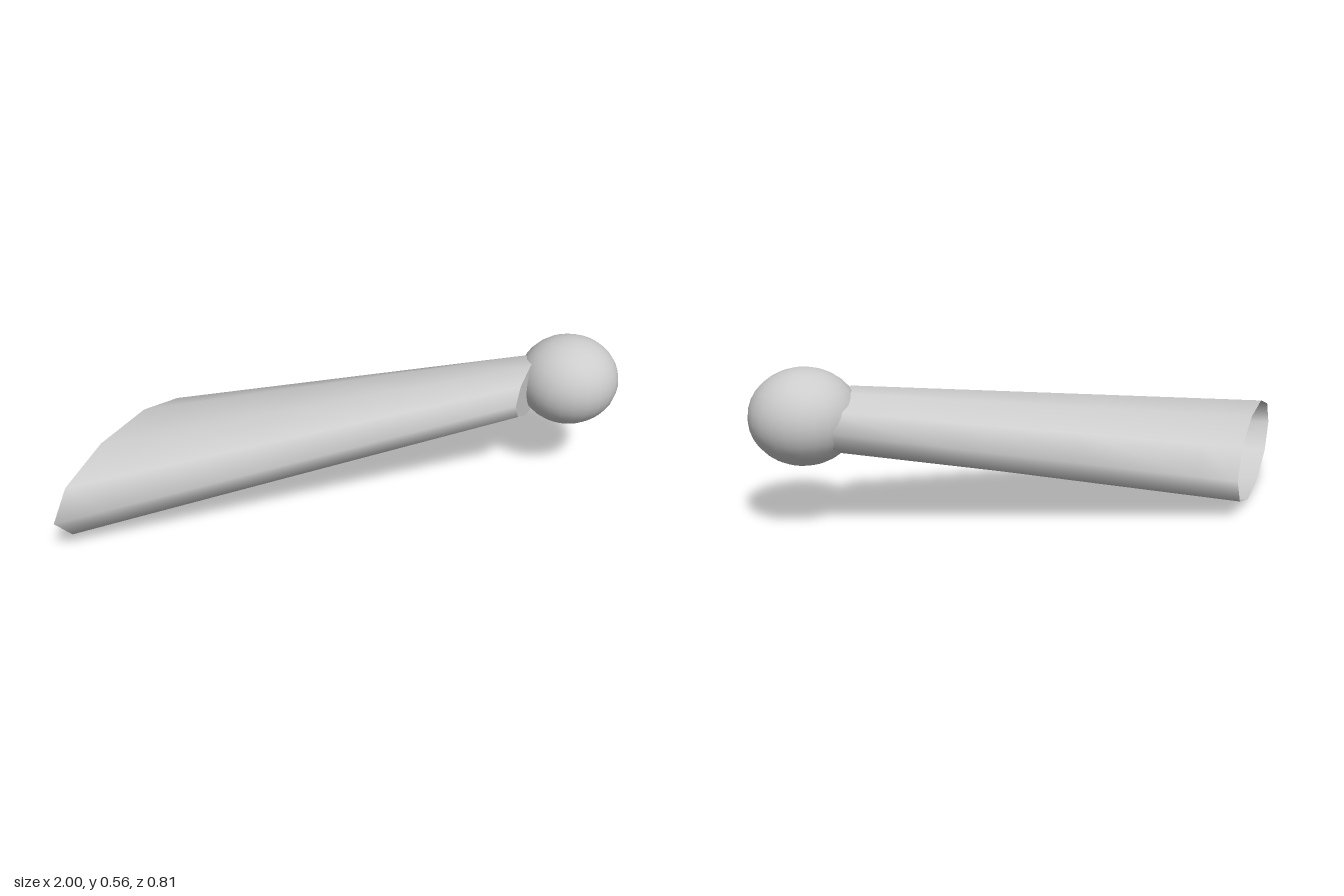
import * as THREE from 'three';

const SIDES = 10;
const grey = new THREE.MeshStandardMaterial({ color: 0xcccccc });
grey.name = 'grey';
const greyOpen = grey.clone();
greyOpen.name = 'grey two-sided';
greyOpen.side = THREE.DoubleSide;

// Slanted elliptical end sections of the limb; slant is x travel per unit z
const FAR = { x: -0.82, y: 0.158, z: 0.015, ry: 0.166, rz: 0.387, slant: -0.466 };
const NEAR = { x: 0.685, y: 0.378, z: -0.207, ry: 0.108, rz: 0.167, slant: -0.5 };

function section(t) {
  const s = {};
  for (const k in FAR) s[k] = FAR[k] + (NEAR[k] - FAR[k]) * t;
  return s;
}

function ring(s) {
  return Array.from({ length: SIDES }, (_, j) => {
    const a = (j / SIDES) * Math.PI * 2;
    const dz = s.rz * Math.cos(a);
    return [s.x + s.slant * dz, s.y + s.ry * Math.sin(a), s.z + dz];
  });
}

function build(points, index) {
  const g = new THREE.BufferGeometry();
  g.setAttribute('position', new THREE.Float32BufferAttribute(points.flat(), 3));
  g.setIndex(index);
  g.computeVertexNormals();
  return g;
}

// Smooth skin through a row of sections
function skin(stops) {
  const index = [];
  for (let i = 0; i < stops.length - 1; i++) {
    for (let j = 0; j < SIDES; j++) {
      const a = i * SIDES + j, b = i * SIDES + ((j + 1) % SIDES);
      index.push(a, a + SIDES, b, b, a + SIDES, b + SIDES);
    }
  }
  return build(stops.flatMap((t) => ring(section(t))), index);
}

// Flat fan closing one section
function cap(t, flip) {
  const s = section(t);
  const index = [];
  for (let j = 0; j < SIDES; j++) {
    const a = j + 1, b = ((j + 1) % SIDES) + 1;
    index.push(0, flip ? b : a, flip ? a : b);
  }
  return build([[s.x, s.y, s.z], ...ring(s)], index);
}

export function createModel() {
  const model = new THREE.Group();
  model.name = 'limbSegment';
  const add = (name, geometry, material = grey) => {
    const mesh = new THREE.Mesh(geometry, material);
    mesh.name = name;
    model.add(mesh);
    return mesh;
  };

  // Tapered limb with an open rim and a recessed end
  add('taperedLimb', skin([0, 0.1, 0.4, 0.7, 1]), greyOpen);
  add('recessedEnd', cap(0.1, false));
  add('innerEnd', cap(1, true));

  // Ball joint
  const ball = add('ballJoint', new THREE.SphereGeometry(1, 24, 16));
  ball.scale.set(0.185, 0.165, 0.181);
  ball.position.set(0.815, 0.395, -0.222);

  return model;
}
